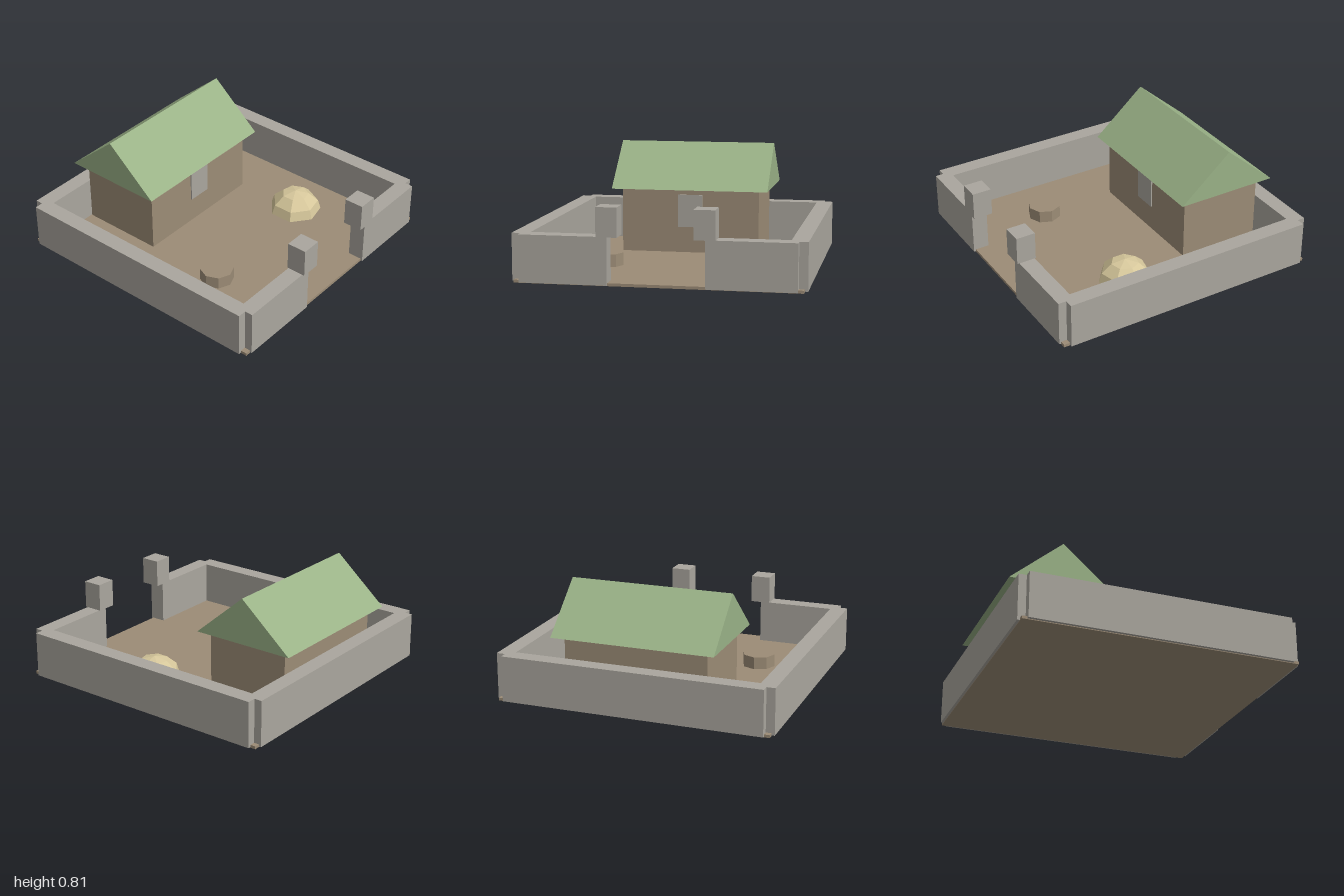
import * as THREE from 'three';

export function createModel() {
  const model = new THREE.Group();
  model.name = 'walledYard';

  const material = (name, color) => {
    const m = new THREE.MeshStandardMaterial({ color, flatShading: true });
    m.name = name;
    return m;
  };
  const stone = material('grey stone', 0xaaa69e);
  const earth = material('brown earth', 0x9c8c76);
  const roofGreen = material('green roof', 0x9ab287);
  const straw = material('pale straw', 0xd6c79b);

  const add = (name, geometry, mat, parent = model) => {
    const mesh = new THREE.Mesh(geometry, mat);
    mesh.name = name;
    parent.add(mesh);
    return mesh;
  };
  // Box given by its lower and upper limits on each axis
  const box = (name, mat, [x0, x1], [y0, y1], [z0, z1], parent) => {
    const g = new THREE.BoxGeometry(x1 - x0, y1 - y0, z1 - z0);
    g.translate((x0 + x1) / 2, (y0 + y1) / 2, (z0 + z1) / 2);
    return add(name, g, mat, parent);
  };

  // Yard floor
  box('yardFloor', earth, [-0.972, 0.972], [0, 0.02], [-0.98, 0.968]);

  // Enclosing walls, open at the front gate
  const wallY = [0.005, 0.33];
  box('backWall', stone, [-0.933, 0.933], wallY, [-0.998, -0.883]);
  for (const [side, s] of [['left', 1], ['right', -1]]) {
    const span = (a, b) => (s > 0 ? [a, b] : [-b, -a]);
    box(side + 'Wall', stone, span(0.877, 0.994), wallY, [-0.943, 0.924]);
    box(side + 'FrontWall', stone, span(0.328, 0.933), wallY, [0.867, 0.982]);
    box(side + 'GatePost', stone, span(0.255, 0.398), [0.33, 0.53], [0.858, 0.998]);
  }

  // House with door and gabled roof
  const house = new THREE.Group();
  house.name = 'house';
  model.add(house);
  box('houseBody', earth, [-0.51, 0.51], [0.02, 0.49], [-0.878, -0.265], house);
  box('door', stone, [-0.09, 0.09], [0.21, 0.45], [-0.275, -0.256], house);

  const gable = new THREE.Shape();
  gable.moveTo(-0.377, 0);
  gable.lineTo(0.377, 0);
  gable.lineTo(0, 0.325);
  gable.closePath();
  const roof = new THREE.ExtrudeGeometry(gable, { depth: 1.16, bevelEnabled: false });
  roof.translate(0, 0, -0.58).rotateY(Math.PI / 2).translate(0, 0.49, -0.578);
  add('roof', roof, roofGreen, house);

  // Low eight-sided well
  const well = add('well', new THREE.CylinderGeometry(0.12, 0.12, 0.09, 8), earth);
  well.position.set(-0.49, 0.065, 0.317);

  // Faceted straw mound with a closed underside
  const mound = new THREE.Group();
  mound.name = 'strawMound';
  mound.position.set(0.525, 0.003, 0.232);
  model.add(mound);
  const dome = new THREE.SphereGeometry(0.196, 7, 3, Math.PI, Math.PI * 2, 0, Math.PI / 2);
  dome.scale(1, 0.89, 1);
  add('moundDome', dome, straw, mound);
  add('moundBase', new THREE.CircleGeometry(0.196, 7).rotateX(Math.PI / 2), straw, mound);

  return model;
}
